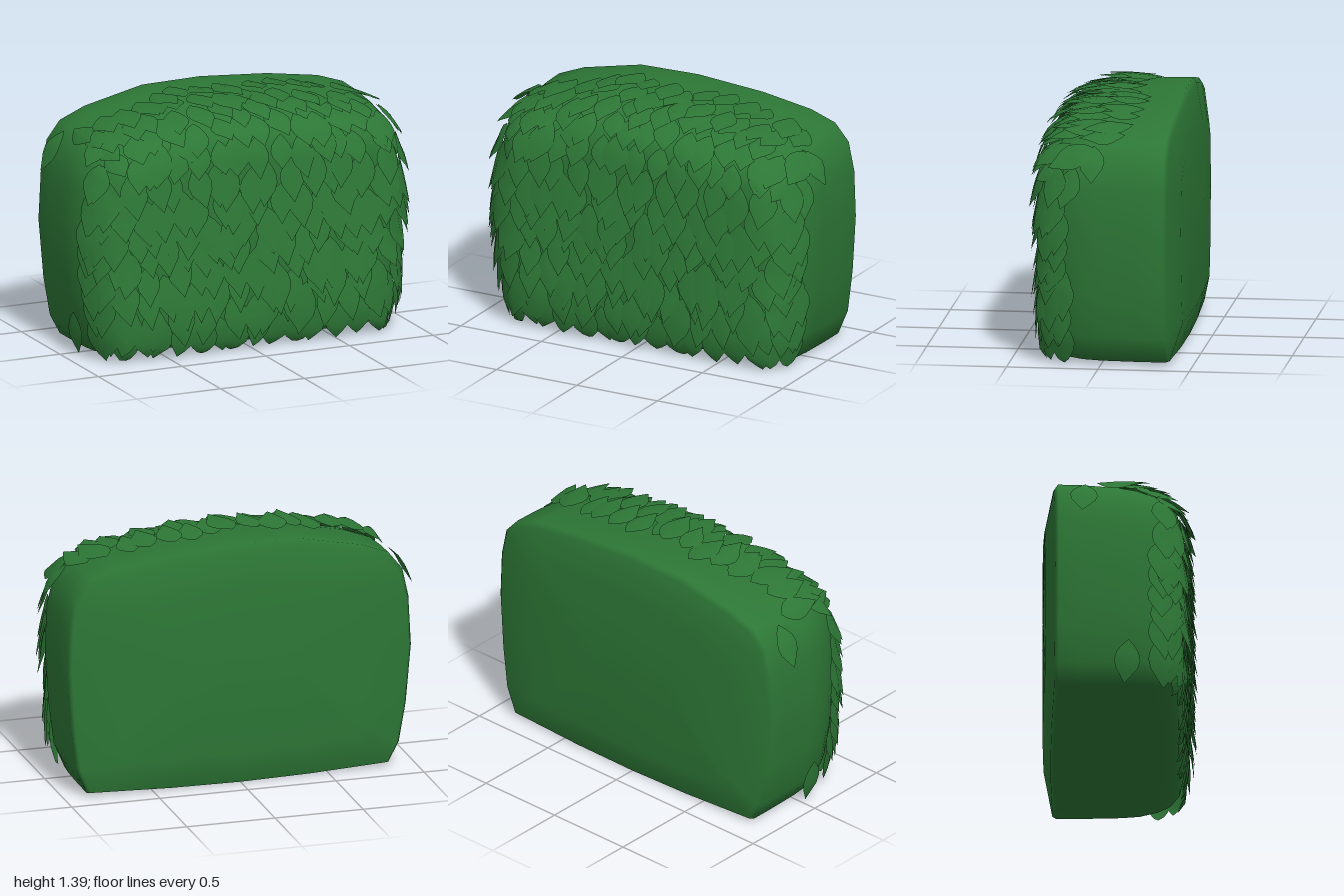
import * as THREE from 'three';
import { mergeGeometries } from 'three/addons/utils/BufferGeometryUtils.js';

// Outline of the hedge seen from the front, anticlockwise.
const OUTLINE = [
  [-0.85, 0.02], [-0.4, 0.005], [0, 0], [0.4, 0.005], [0.87, 0.02], [0.93, 0.16], [0.96, 0.4],
  [0.98, 0.72], [0.97, 0.98], [0.935, 1.14], [0.85, 1.235], [0.7, 1.285], [0.4, 1.33], [0, 1.36],
  [-0.35, 1.355], [-0.7, 1.28], [-0.85, 1.22], [-0.93, 1.12], [-0.965, 0.96], [-0.98, 0.68],
  [-0.95, 0.35], [-0.91, 0.13],
];
const MID = 0.68;
// Cross-sections from back to front: depth, then inset of the sides, top and bottom.
const RINGS = [
  [-0.42, MID, MID, MID], [-0.418, 0.26, 0.22, 0.18], [-0.375, 0.02, 0.03, 0.005], [-0.355, 0, 0, 0],
  [-0.2, 0, 0.005, 0], [0, 0.004, 0.025, 0.002], [0.1, 0.012, 0.045, 0.006], [0.2, 0.05, 0.075, 0.015],
  [0.27, 0.09, 0.115, 0.035], [0.32, 0.14, 0.17, 0.08], [0.345, 0.24, 0.26, 0.17], [0.35, MID, MID, MID],
];

function bodyGeometry() {
  const pos = [], index = [], n = OUTLINE.length;
  for (const [z, side, top, bottom] of RINGS) {
    for (const [x, y] of OUTLINE) {
      const px = x * (1 - side / 0.98);
      const bow = z < -0.3 ? 0.02 * px * px - 0.015 * px : 0;
      pos.push(px, MID + (y - MID) * (1 - (y > MID ? top : bottom) / MID), z + bow);
    }
  }
  for (let i = 0; i < RINGS.length - 1; i++) {
    for (let j = 0; j < n; j++) {
      const a = i * n + j, b = i * n + (j + 1) % n;
      index.push(a, b, b + n, a, b + n, a + n);
    }
  }
  const g = new THREE.BufferGeometry();
  g.setAttribute('position', new THREE.Float32BufferAttribute(pos, 3));
  g.setIndex(index);
  g.computeVertexNormals();
  return g;
}

// One leaf along -y, pointed at both ends; its z is the height above the body.
function leafGeometry() {
  const pos = [], index = [];
  const rows = [[0, 0.002], [0.12, 0.034], [0.28, 0.062], [0.45, 0.074], [0.62, 0.064], [0.82, 0.03], [1, 0.001]];
  rows.forEach(([t, w], i) => {
    const y = -t * 0.25, z = 0.008 + 0.044 * t;
    pos.push(-w, y, z - w * 0.12, 0, y, z, w, y, z - w * 0.12);
    if (i === rows.length - 1) return;
    for (let k = 0; k < 2; k++) {
      const a = i * 3 + k;
      index.push(a, a + 3, a + 4, a, a + 4, a + 1);
    }
  });
  const g = new THREE.BufferGeometry();
  g.setAttribute('position', new THREE.Float32BufferAttribute(pos, 3));
  g.setIndex(index);
  return g;
}

export function createModel() {
  const group = new THREE.Group();
  const hedgeGreen = new THREE.MeshStandardMaterial({ color: 0x2d7736 });
  hedgeGreen.name = 'hedge green';
  const leafGreen = new THREE.MeshStandardMaterial({ color: 0x2d7736, side: THREE.DoubleSide });
  leafGreen.name = 'leaf green';

  const body = new THREE.Mesh(bodyGeometry(), hedgeGreen);
  body.name = 'hedgeBody';
  body.updateMatrixWorld();
  group.add(body);

  let seed = 7;
  const jitter = (s) => {
    seed = (seed * 16807) % 2147483647;
    return (seed / 2147483647 - 0.5) * 2 * s;
  };
  const V = (x, y, z) => new THREE.Vector3(x, y, z);
  const leaf = leafGeometry();
  const ray = new THREE.Raycaster();
  const coreMin = V(-0.65, 0.35, -0.25), coreMax = V(0.65, 1.0, 0.05);

  // Moves a point to the given height above the body, along a line from its core.
  function drape(p, height) {
    const core = p.clone().clamp(coreMin, coreMax);
    const out = p.clone().sub(core).normalize();
    ray.set(core.addScaledVector(out, 2), out.clone().negate());
    const hit = ray.intersectObject(body)[0];
    p.copy(hit.point).addScaledVector(out, height);
    p.y = Math.max(p.y, 0.005);
  }

  // Lays a leaf where a ray meets the body, its tip pointing along "down".
  function plantLeaf(list, origin, direction, down, turn) {
    ray.set(origin, direction);
    const hit = ray.intersectObject(body)[0];
    if (!hit) return;
    const z = hit.face.normal.clone();
    const y = down.clone().negate().addScaledVector(z, down.dot(z)).normalize();
    const x = V(0, 0, 0).crossVectors(y, z);
    const s = 1 + jitter(0.12), lift = 0.01 + jitter(0.01);
    const m = new THREE.Matrix4().makeBasis(x, y, z).setPosition(hit.point);
    m.multiply(new THREE.Matrix4().makeRotationZ(turn)).scale(V(s, s, 1));
    const g = leaf.clone(), pos = g.attributes.position, p = V(0, 0, 0);
    for (let i = 0; i < pos.count; i++) {
      p.set(pos.getX(i), pos.getY(i), 0).applyMatrix4(m);
      drape(p, pos.getZ(i) + lift);
      pos.setXYZ(i, p.x, p.y, p.z);
    }
    g.computeVertexNormals();
    list.push(g);
  }
  function addLeaves(name, list) {
    const mesh = new THREE.Mesh(mergeGeometries(list), leafGreen);
    mesh.name = name;
    group.add(mesh);
  }

  // Front: staggered rows of hanging leaves
  const front = [];
  for (let r = 0; r < 9; r++) {
    for (let c = -8; c <= 7; c++) {
      const x = (c + (r % 2 ? 0.75 : 0.25)) * 0.116 + jitter(0.025);
      plantLeaf(front, V(x, 0.225 + r * 0.12 + jitter(0.035), 3), V(0, 0, -1), V(0, -1, 0), jitter(0.22));
    }
  }
  addLeaves('frontLeaves', front);

  // Top: leaves pointing forward, folded over the front edge
  const top = [];
  for (let r = 0; r < 4; r++) {
    for (let c = -7; c <= 7; c++) {
      const x = (c + (r % 2 ? 0.3 : -0.2)) * 0.118 + jitter(0.02);
      const z = -0.15 + r * 0.11 + 0.06 * x * x + jitter(0.055);
      plantLeaf(top, V(x, 3, z), V(0, -1, 0), V(0, -0.3, 1), jitter(0.25));
    }
  }
  addLeaves('topLeaves', top);

  // Sides: two columns wrapping round each front corner
  for (const side of [1, -1]) {
    const leaves = [];
    for (let r = 0; r < 8; r++) {
      for (let c = 0; c < 2; c++) {
        const y = 0.28 + r * 0.118 + c * 0.06 + jitter(0.02);
        plantLeaf(leaves, V(side * 3, y, 0.22 + c * 0.06 + jitter(0.015)), V(-side, 0, 0), V(0, -1, 0), jitter(0.15));
      }
    }
    addLeaves(side > 0 ? 'leftLeaves' : 'rightLeaves', leaves);
  }
  return group;
}
